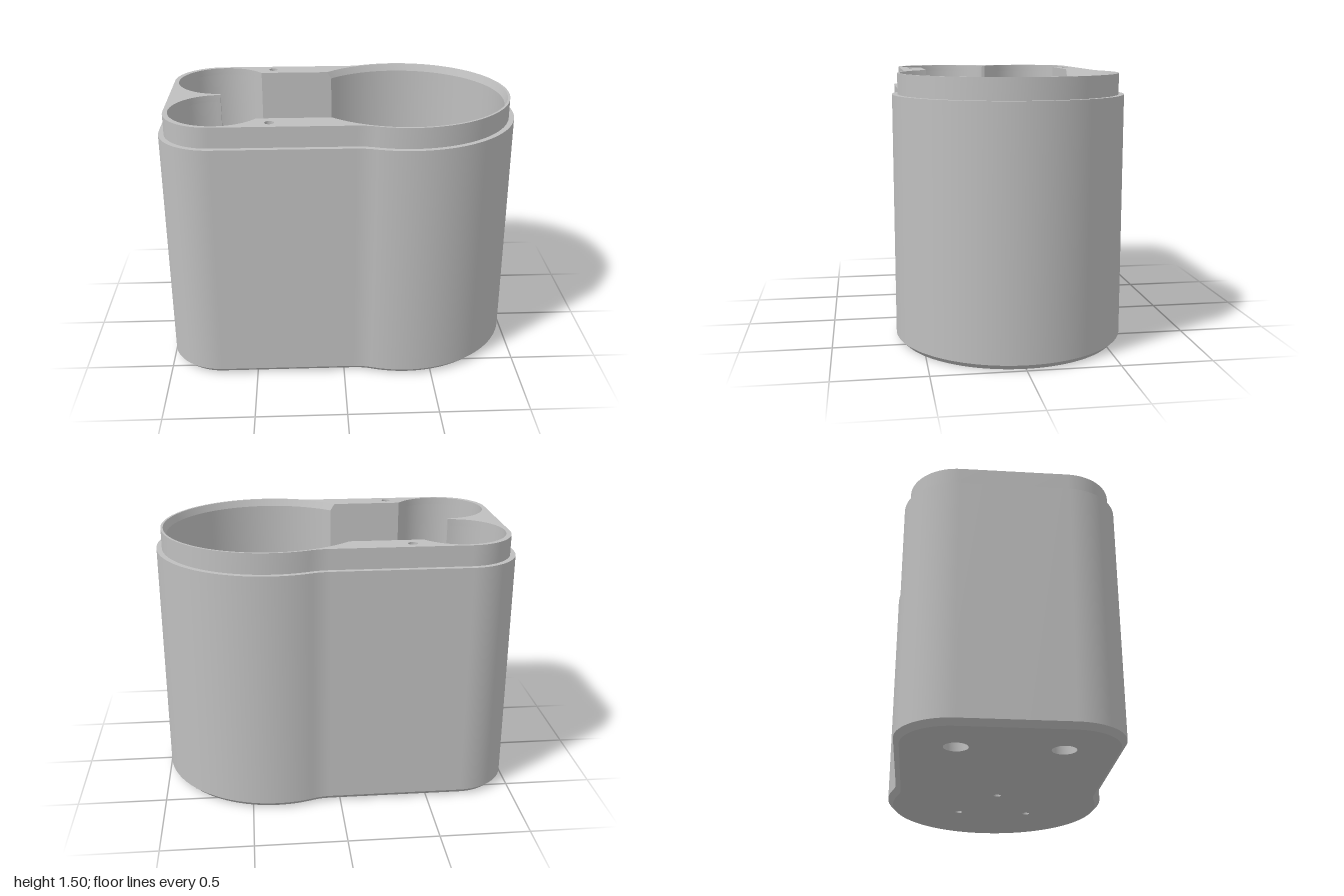
import * as THREE from 'three';
import { toCreasedNormals } from 'three/addons/utils/BufferGeometryUtils.js';

const HEIGHT = 1.495, SHOULDER = 1.38, FLOOR = 0.1, INSET = 0.03;
const BIG_X = 0.36;                      // centre of the large round chamber
const POCKET = { x: -0.68, z: 0.275, r: 0.265 };

// Points are Vector2(x, z); loops run from +x towards +z
function arc(cx, cz, r, a0, a1, n) {
  return Array.from({ length: n + 1 }, (_, i) => {
    const a = a0 + (a1 - a0) * i / n;
    return new THREE.Vector2(cx + r * Math.cos(a), cz + r * Math.sin(a));
  });
}

const circle = (x, z, r) => arc(x, z, r, 0, Math.PI * 2, 32).slice(0, -1);

// Complete a half loop (z > 0) with its mirror image
function mirrored(half) {
  const other = half.slice(1).reverse().map(p => new THREE.Vector2(p.x, -p.y));
  return [...half, ...other];
}

// Outer outline: large circle blended into a rounded block, offset inwards by d
function outline(d) {
  const r = 0.64 - d, z = 0.59 - d;
  const join = Math.PI - Math.asin(z / r);
  const round = arc(BIG_X, 0, r, 0, join - 0.1, 44);
  const jx = BIG_X + r * Math.cos(join);
  const blend = new THREE.QuadraticBezierCurve(
    round[round.length - 1], new THREE.Vector2(jx, z), new THREE.Vector2(jx - 0.06, z)
  ).getPoints(6).slice(1);
  return mirrored([...round, ...blend, ...arc(-0.7, 0.29, 0.3 - d, Math.PI / 2, Math.PI, 20)]);
}

// Inner cavity: large chamber of radius r joined to two cylindrical pockets
function cavity(r) {
  const halfWidth = 0.425;
  const end = Math.PI - Math.asin(halfWidth / r);
  const start = Math.asin((halfWidth - POCKET.z) / POCKET.r);
  return mirrored([
    ...arc(BIG_X, 0, r, 0, end, 50),
    ...arc(POCKET.x, POCKET.z, POCKET.r, start, Math.PI * 1.5, 44),
  ]);
}

// Side surface between two matching loops
function band(lower, y0, upper, y1, inward = false) {
  const pos = [], n = lower.length;
  for (let i = 0; i < n; i++) {
    const j = (i + 1) % n;
    const a = [lower[i].x, y0, lower[i].y], b = [lower[j].x, y0, lower[j].y];
    const c = [upper[j].x, y1, upper[j].y], d = [upper[i].x, y1, upper[i].y];
    if (inward) pos.push(...a, ...b, ...d, ...b, ...c, ...d);
    else pos.push(...a, ...d, ...b, ...b, ...d, ...c);
  }
  const g = new THREE.BufferGeometry();
  g.setAttribute('position', new THREE.Float32BufferAttribute(pos, 3));
  return toCreasedNormals(g, 0.5);
}

// Flat horizontal face with holes, facing up or down
function cap(loop, y, holes = [], up = true) {
  const s = up ? -1 : 1;
  const flat = pts => pts.map(p => new THREE.Vector2(p.x, p.y * s));
  const shape = new THREE.Shape(flat(loop));
  shape.holes = holes.map(h => new THREE.Path(flat(h)));
  return new THREE.ShapeGeometry(shape).rotateX(s * Math.PI / 2).translate(0, y, 0);
}

export function createModel() {
  const model = new THREE.Group();
  model.name = 'twoPocketHousing';
  const grey = new THREE.MeshStandardMaterial({ color: 0xbfbfbf });
  grey.name = 'plain grey';
  const add = (name, geometry) => {
    const mesh = new THREE.Mesh(geometry, grey);
    mesh.name = name;
    model.add(mesh);
  };

  const outer = outline(0), inner = outline(INSET);
  const chamber = cavity(0.58), mouth = cavity(0.597);
  const sides = [-1, 1];
  const drains = sides.map(s => circle(POCKET.x, s * POCKET.z, 0.065));
  const screws = sides.map(s => circle(-0.39, s * 0.495, 0.026));
  const feet = [Math.PI / 3, Math.PI, -Math.PI / 3].map(a =>
    circle(BIG_X + 0.24 * Math.cos(a), 0.24 * Math.sin(a), 0.021));

  // Outer shell with bottom chamfer and stepped lip
  add('bottomChamfer', band(inner, 0, outer, INSET));
  add('outerWall', band(outer, INSET, outer, SHOULDER));
  add('shoulder', cap(outer, SHOULDER, [inner]));
  add('lipWall', band(inner, SHOULDER, inner, HEIGHT));
  add('rim', cap(inner, HEIGHT, [mouth, ...screws]));

  // Cavity
  add('mouthChamfer', band(chamber, HEIGHT - 0.04, mouth, HEIGHT, true));
  add('cavityWall', band(chamber, FLOOR, chamber, HEIGHT - 0.04, true));
  add('cavityFloor', cap(chamber, FLOOR, drains));
  add('underside', cap(inner, 0, [...drains, ...feet], false));

  // Through holes under the pockets
  drains.forEach(h => add('pocketHole', band(h, 0, h, FLOOR, true)));

  // Blind screw holes in the rim
  screws.forEach(h => {
    add('screwHoleWall', band(h, HEIGHT - 0.3, h, HEIGHT, true));
    add('screwHoleEnd', cap(h, HEIGHT - 0.3));
  });

  // Blind holes in the underside
  feet.forEach(h => {
    add('baseHoleWall', band(h, 0, h, 0.06, true));
    add('baseHoleEnd', cap(h, 0.06, [], false));
  });
  return model;
}
